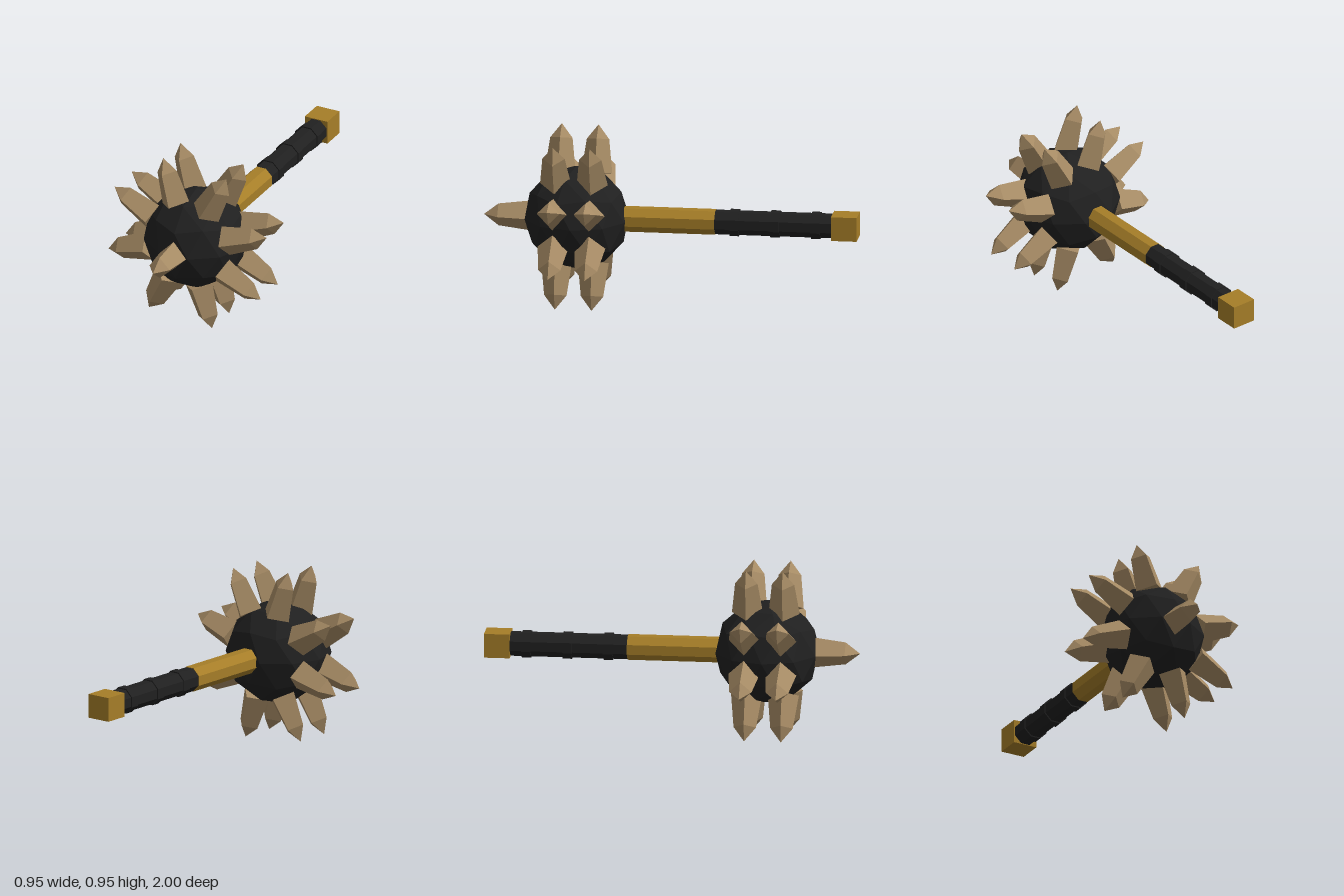
import * as THREE from 'three';

const CENTER_Y = 0.473;
const BALL_Z = 0.506;

function material(name, color) {
  const m = new THREE.MeshStandardMaterial({ color });
  m.name = name;
  return m;
}

// Gives every face its own flat normal
function faceted(geometry) {
  const g = geometry.index ? geometry.toNonIndexed() : geometry;
  g.computeVertexNormals();
  return g;
}

export function createModel() {
  const iron = material('black iron', 0x202020);
  const bone = material('bone', 0xa58a64);
  const gold = material('gold', 0xa67e28);

  const model = new THREE.Group();
  model.name = 'spikedMace';
  const add = (name, geometry, mat) => {
    const mesh = new THREE.Mesh(geometry, mat);
    mesh.name = name;
    model.add(mesh);
    return mesh;
  };

  // Faceted ball with one vertex pointing straight up
  const ballGeo = new THREE.IcosahedronGeometry(0.281, 1);
  ballGeo.rotateX(-Math.atan((1 + Math.sqrt(5)) / 2));
  add('ball', faceted(ballGeo), iron).position.set(0, CENTER_Y, BALL_Z);

  // Four-sided spike: its axis is +y and starts at the ball centre
  const profile = [[0, 0.238], [0.083, 0.238], [0.06, 0.418], [0, 0.495]]
    .map(([r, y]) => new THREE.Vector2(r, y));
  const spikeGeo = faceted(new THREE.LatheGeometry(profile, 4));

  // Two rows of eight spikes around the ball
  for (const dz of [-0.098, 0.098]) {
    for (let i = 0; i < 8; i++) {
      const spike = add('spike', spikeGeo, bone);
      spike.position.set(0, CENTER_Y, BALL_Z + dz);
      spike.rotation.z = THREE.MathUtils.degToRad(17.1 + i * 45);
    }
  }

  // Single spike on the front
  const frontSpike = add('frontSpike', spikeGeo, bone);
  frontSpike.position.set(0, CENTER_Y, BALL_Z);
  frontSpike.rotation.x = Math.PI / 2;

  // Octagonal rods along z
  const rod = (name, radius, z0, z1, mat) => {
    const g = new THREE.CylinderGeometry(radius, radius, z1 - z0, 8);
    g.rotateY(Math.PI / 8);
    g.rotateX(Math.PI / 2);
    add(name, faceted(g), mat).position.set(0, CENTER_Y, (z0 + z1) / 2);
  };
  rod('shaft', 0.069, -0.237, 0.32, gold);
  rod('grip', 0.066, -0.88, -0.237, iron);
  for (const z of [-0.34, -0.558, -0.776]) rod('gripRing', 0.073, z - 0.025, z + 0.025, iron);

  // Square pommel at the back end
  add('pommel', new THREE.BoxGeometry(0.135, 0.13, 0.137), gold)
    .position.set(0, CENTER_Y, -0.9305);

  return model;
}
